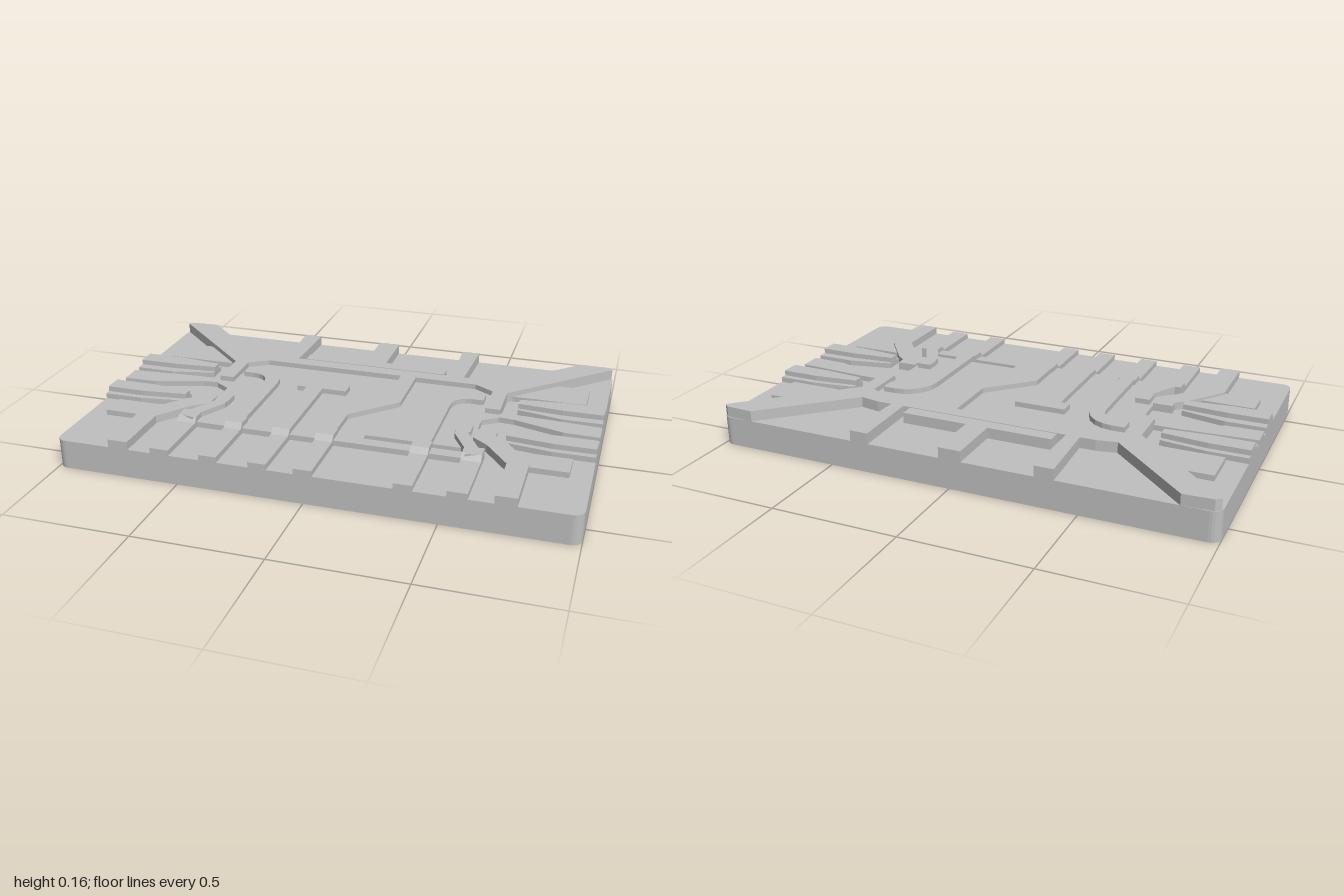
import * as THREE from 'three';

const BASE = 0.117, MID = 0.139, TOP = 0.16, FRONT = 0.617;

export function createModel() {
  const model = new THREE.Group();
  const grey = new THREE.MeshStandardMaterial({ color: 0xc0c0c0 });
  grey.name = 'light grey';

  const add = (name, geometry) => {
    const mesh = new THREE.Mesh(geometry, grey);
    mesh.name = name;
    model.add(mesh);
    return mesh;
  };
  // Upright prism over an outline given as [x, z] points
  const plate = (name, pts, y0, y1) => {
    const shape = new THREE.Shape(pts.map(([x, z]) => new THREE.Vector2(x, -z)));
    const g = new THREE.ExtrudeGeometry(shape, { depth: y1 - y0, bevelEnabled: false });
    g.rotateX(-Math.PI / 2).translate(0, y0, 0);
    return add(name, g);
  };
  const rect = (name, x0, x1, z0, z1, y0, y1) =>
    plate(name, [[x0, z0], [x1, z0], [x1, z1], [x0, z1]], y0, y1);
  // Constant-width track along a centre line, with mitred bends
  const track = (name, path, width, y0, y1) => {
    const v = path.map(([x, z]) => new THREE.Vector2(x, z));
    const left = [], right = [];
    v.forEach((p, i) => {
      const a = p.clone().sub(v[Math.max(i - 1, 0)]).normalize();
      const b = v[Math.min(i + 1, v.length - 1)].clone().sub(p).normalize();
      const t = a.clone().add(b).normalize();
      const ref = i === 0 ? b : a;
      const h = width / 2 / t.dot(ref);
      left.push([p.x - t.y * h, p.y + t.x * h]);
      right.unshift([p.x + t.y * h, p.y - t.x * h]);
    });
    return plate(name, left.concat(right), y0, y1);
  };
  // Track end that steps down to the base and runs to the front edge
  const frontLead = (name, x, width) => {
    const s = new THREE.Shape([
      [-0.3, BASE], [-0.3, TOP], [-0.355, TOP], [-0.375, MID], [-FRONT, MID], [-FRONT, BASE],
    ].map(([z, y]) => new THREE.Vector2(z, y)));
    const g = new THREE.ExtrudeGeometry(s, { depth: width, bevelEnabled: false });
    g.rotateY(Math.PI / 2).translate(x - width / 2, 0, 0);
    return add(name, g);
  };

  // Base slab with rounded corners
  const r = 0.04, corners = [];
  for (const [cx, cz, start] of [[1, 1, 0], [-1, 1, 1], [-1, -1, 2], [1, -1, 3]]) {
    for (let i = 0; i <= 6; i++) {
      const a = (start + i / 6) * Math.PI / 2;
      corners.push([cx * (1 - r) + r * Math.cos(a), cz * (FRONT - r) + r * Math.sin(a)]);
    }
  }
  plate('baseSlab', corners, 0, BASE);

  // Central raised field with a slot near its front
  plate('centralField', [
    [-0.46, -0.33], [0.46, -0.33], [0.53, -0.26], [0.6, -0.2], [0.6, -0.02], [0.54, 0.02],
    [0.54, 0.28], [0.14, 0.28], [0.14, 0.31], [0.54, 0.31], [0.54, 0.36],
    [-0.54, 0.36], [-0.54, 0.02], [-0.6, -0.02], [-0.6, -0.2], [-0.53, -0.26],
  ], BASE, MID);

  // Rear bus
  plate('rearBus', [[-0.46, -0.33], [0.46, -0.33], [0.52, -0.27], [-0.52, -0.27]], MID, TOP);
  rect('rearBar', -0.31, 0.31, -0.39, -0.335, BASE, TOP);
  rect('rearStem', -0.05, 0.04, -FRONT, -0.39, BASE, TOP);

  // Parts mirrored on both sides
  for (const s of [-1, 1]) {
    const side = s > 0 ? 'left' : 'right';
    const m = pts => pts.map(([x, z]) => [s * x, z]);

    plate(side + 'CornerTrack', m([
      [0.975, -0.612], [0.86, -FRONT], [0.54, -0.315], [0.46, -0.33], [0.46, -0.27],
      [0.54, -0.22], [0.54, -0.05], [0.6, -0.05], [0.6, -0.22], [0.995, -0.595],
    ]), BASE, TOP);
    plate(side + 'RearPad', m([
      [0.92, -0.4], [0.78, -0.4], [0.61, -0.24], [0.92, -0.24],
    ]), BASE, MID);
    plate(side + 'RearFunnel', m([
      [0.335, -FRONT], [0.41, -FRONT], [0.395, -0.27], [0.345, -0.27],
    ]), BASE, TOP);

    // Side fans reaching the edge
    for (const k of [-1, 1]) {
      const fan = (name, edge0, edge1, tip0, tip1, y0, y1) => plate(name, m([
        [1, k * edge0], [0.84, k * edge0], [0.66, k * tip0],
        [0.66, k * tip1], [0.84, k * edge1], [1, k * edge1],
      ]), y0, y1);
      fan(side + 'SideFan', 0.215, 0.078, 0.19, 0.115, BASE, MID);
      fan(side + 'SideFanRidge', 0.19, 0.115, 0.17, 0.13, MID, TOP);
    }
    plate(side + 'MiddleFan', m([
      [1, -0.045], [1, 0.045], [0.86, 0.04], [0.66, -0.02], [0.54, -0.03], [0.54, -0.065], [0.7, -0.065],
    ]), BASE, MID);

    // Front pad and the bent track beside it
    rect(side + 'FrontPad', Math.min(s * 0.69, s * 0.92), Math.max(s * 0.69, s * 0.92), 0.25, 0.36, BASE, MID);
    track(side + 'OuterTrack', m([
      [0.735, FRONT], [0.735, 0.36], [0.63, 0.22], [0.58, 0.18], [0.58, 0.12],
    ]), 0.08, BASE, MID + 0.01);

    // Inner bent track with square end
    frontLead(side + 'InnerLead', s * 0.565, 0.075);
    track(side + 'InnerTrack', m([[0.565, 0.36], [0.555, 0.31], [0.495, 0.2], [0.495, 0.16]]), 0.05, BASE, TOP);
    rect(side + 'InnerEnd', s * 0.495 - 0.03, s * 0.495 + 0.03, 0.12, 0.18, BASE, TOP);

    // Long hooked track
    frontLead(side + 'HookLead', s * 0.37, 0.07);
    const hook = [[0.37, 0.3], [0.37, -0.05]];
    for (let i = 1; i <= 5; i++) {
      const a = i / 5 * Math.PI / 2;
      hook.push([0.47 - 0.1 * Math.cos(a), -0.05 - 0.1 * Math.sin(a)]);
    }
    hook.push([0.52, -0.15]);
    track(side + 'HookTrack', m(hook), 0.06, MID, TOP);
  }

  // T-shaped track
  frontLead('teeLead', -0.175, 0.07);
  rect('teeStem', -0.21, -0.14, -0.05, 0.3, MID, TOP);
  rect('teeBar', -0.25, -0.04, -0.11, -0.045, MID, TOP);

  // Centre track with a diagonal jog
  frontLead('centreLead', 0, 0.07);
  track('centreTrack', [[0, 0.3], [0, 0.15], [0.17, -0.02], [0.17, -0.28]], 0.065, MID, TOP);

  return model;
}
